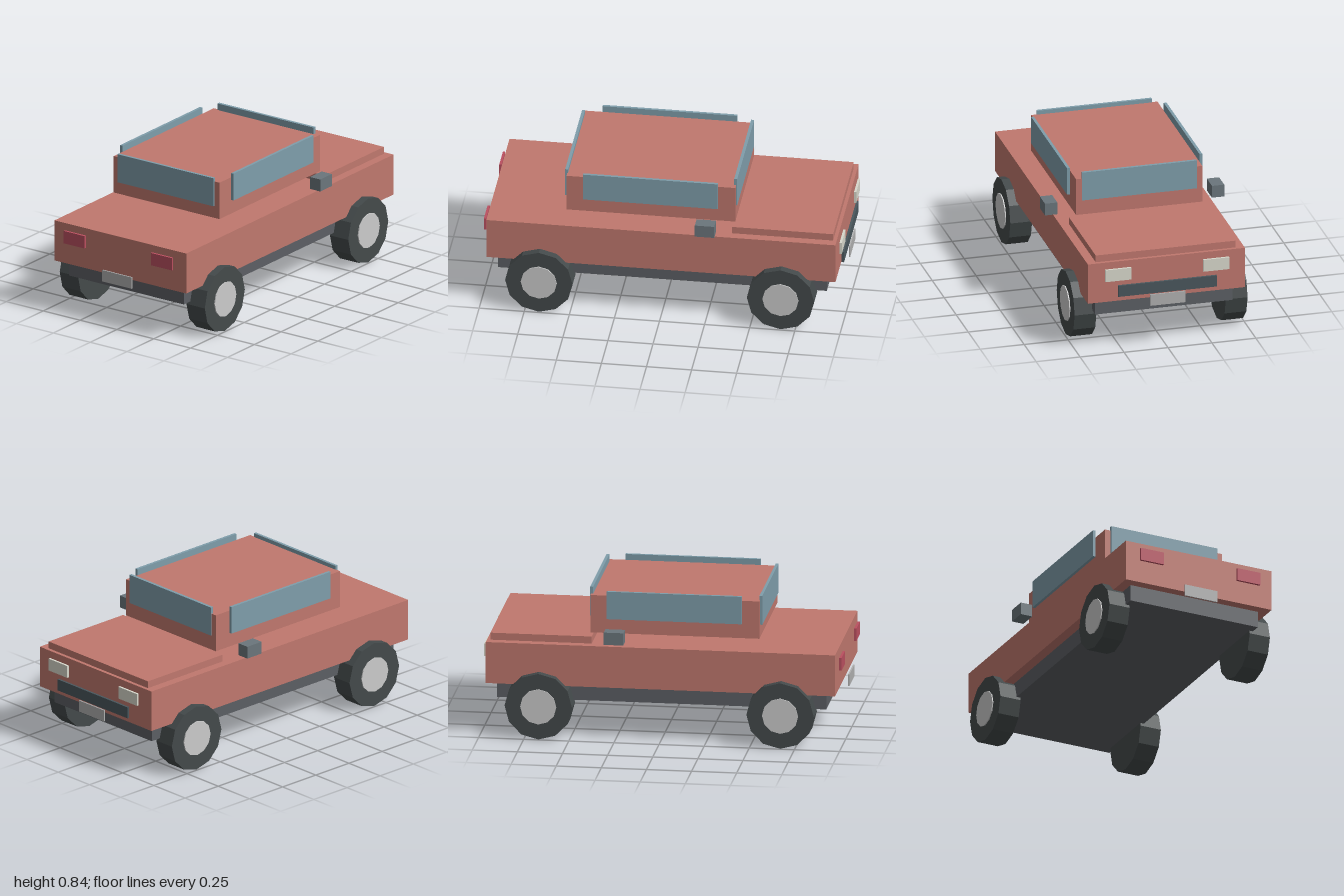
import * as THREE from 'three';

const mat = (color) => new THREE.MeshStandardMaterial({ color, flatShading: true });

export function createModel() {
  const car = new THREE.Group();
  car.name = 'car';

  const paint = mat(0xc0786e);
  const glass = mat(0x7f9eab);
  const frame = mat(0x5c5f64);
  const rubber = mat(0x444a4b);
  const hubMetal = mat(0xcccccc);
  const mirrorGrey = mat(0x6b767c);
  const grilleGrey = mat(0x4a575d);
  const plateGrey = mat(0xb0b0b0);
  const lampWhite = mat(0xd8d8cc);
  const lampRed = mat(0xbb5060);

  // Box given by its extents on each axis
  function box(name, material, [x0, x1], [y0, y1], [z0, z1]) {
    const mesh = new THREE.Mesh(new THREE.BoxGeometry(x1 - x0, y1 - y0, z1 - z0), material);
    mesh.position.set((x0 + x1) / 2, (y0 + y1) / 2, (z0 + z1) / 2);
    mesh.name = name;
    car.add(mesh);
  }

  // The same box on both sides of the car
  function pair(name, material, [x0, x1], y, z) {
    box(name + 'Left', material, [x0, x1], y, z);
    box(name + 'Right', material, [-x1, -x0], y, z);
  }

  // Body
  box('chassis', frame, [-0.39, 0.39], [0.205, 0.298], [-0.912, 0.912]);
  box('body', paint, [-0.447, 0.447], [0.298, 0.532], [-0.968, 0.968]);
  box('hood', paint, [-0.397, 0.397], [0.532, 0.572], [-0.948, -0.387]);
  box('cabin', paint, [-0.359, 0.359], [0.585, 0.798], [-0.4, 0.536]);

  // Windows
  box('windshield', glass, [-0.326, 0.326], [0.67, 0.836], [-0.406, -0.389]);
  box('rearWindow', glass, [-0.326, 0.326], [0.656, 0.82], [0.532, 0.548]);
  pair('sideWindow', glass, [0.369, 0.385], [0.671, 0.828], [-0.306, 0.441]);

  // Mirrors, lamps, grille and plates
  pair('mirror', mirrorGrey, [0.44, 0.51], [0.56, 0.63], [-0.305, -0.197]);
  pair('headlight', lampWhite, [0.205, 0.353], [0.425, 0.495], [-0.99, -0.977]);
  pair('taillight', lampRed, [0.225, 0.367], [0.423, 0.495], [0.98, 0.993]);
  box('grille', grilleGrey, [-0.28, 0.28], [0.33, 0.395], [-0.992, -0.979]);
  box('frontPlate', plateGrey, [-0.1, 0.1], [0.26, 0.326], [-1, -0.992]);
  box('rearPlate', plateGrey, [-0.1, 0.1], [0.26, 0.326], [0.992, 1]);

  // Wheels, each a twelve-sided tyre with a thin hub on the outside
  const tyreGeometry = new THREE.CylinderGeometry(0.187, 0.187, 0.124, 12).rotateZ(Math.PI / 2);
  const hubGeometry = new THREE.CylinderGeometry(0.1, 0.1, 0.03, 12).rotateZ(Math.PI / 2);
  for (const side of [-1, 1]) {
    for (const z of [-0.67, 0.67]) {
      const wheel = new THREE.Group();
      wheel.name = (z < 0 ? 'front' : 'rear') + 'Wheel' + (side > 0 ? 'Left' : 'Right');
      const tyre = new THREE.Mesh(tyreGeometry, rubber);
      tyre.name = 'tyre';
      const hub = new THREE.Mesh(hubGeometry, hubMetal);
      hub.name = 'hub';
      hub.position.x = side * 0.053;
      wheel.add(tyre, hub);
      wheel.position.set(side * 0.43, 0.187, z);
      car.add(wheel);
    }
  }
  return car;
}
